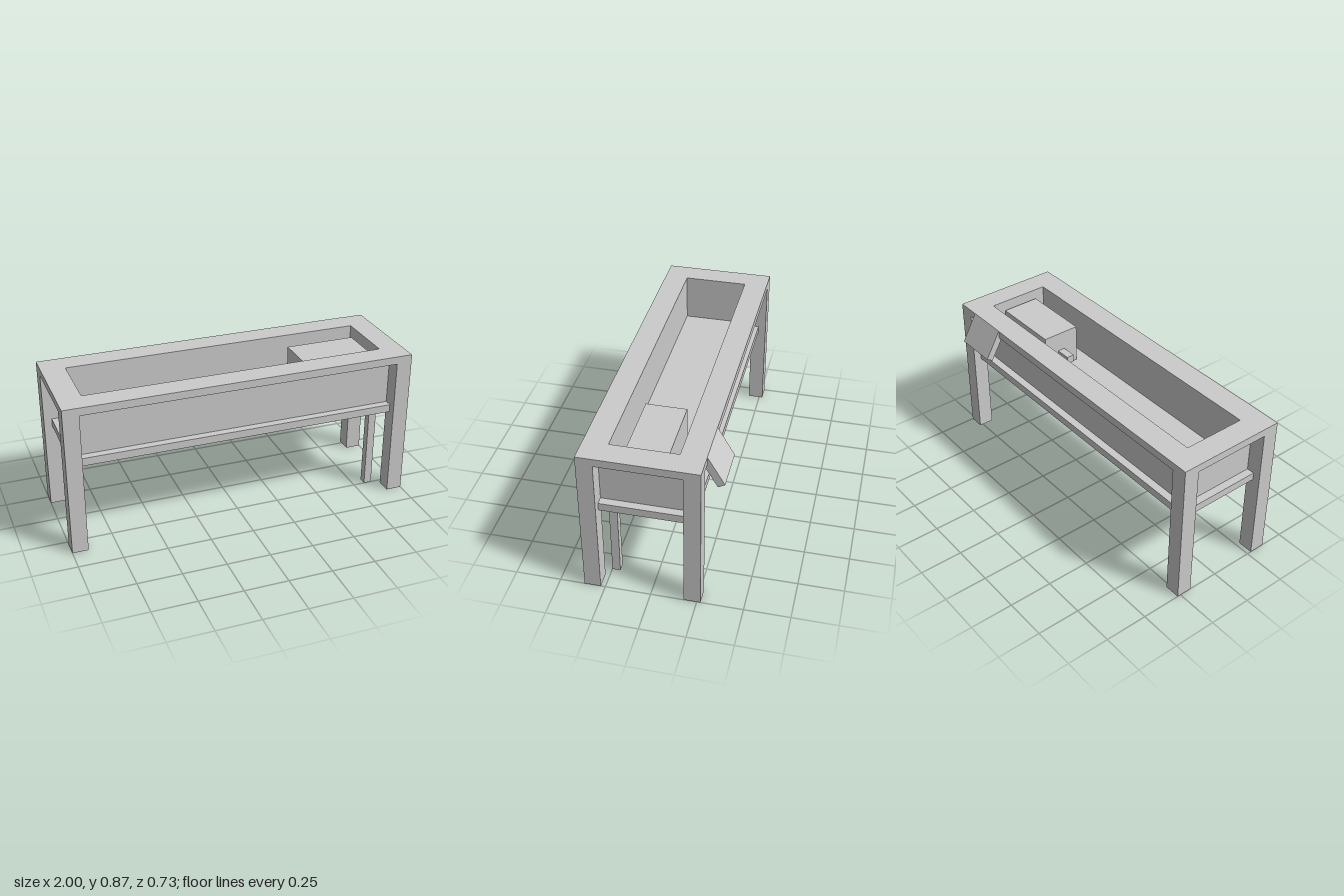
import * as THREE from 'three';

const CZ = 0.0475; // middle of the trough in z

export function createModel() {
  const model = new THREE.Group();
  const material = new THREE.MeshStandardMaterial({ color: 0xcccccc, flatShading: true });

  const add = (name, geometry) => {
    const mesh = new THREE.Mesh(geometry, material);
    mesh.name = name;
    model.add(mesh);
    return mesh;
  };

  // Box given by its extents along each axis
  const block = (name, [x0, x1], [y0, y1], [z0, z1]) => {
    const mesh = add(name, new THREE.BoxGeometry(x1 - x0, y1 - y0, z1 - z0));
    mesh.position.set((x0 + x1) / 2, (y0 + y1) / 2, (z0 + z1) / 2);
    return mesh;
  };

  // Box centred on x, y and z, given by its centre and size
  const centred = (name, x, y, z, w, h, d) =>
    block(name, [x - w / 2, x + w / 2], [y - h / 2, y + h / 2], [z - d / 2, z + d / 2]);

  // Flat rectangular rim with an opening
  const rectangle = (path, x, z) => {
    path.moveTo(-x, -z).lineTo(x, -z).lineTo(x, z).lineTo(-x, z).closePath();
    return path;
  };
  const rimShape = rectangle(new THREE.Shape(), 1, 0.3175);
  rimShape.holes.push(rectangle(new THREE.Path(), 0.865, 0.1825));
  const rim = add('rim', new THREE.ExtrudeGeometry(rimShape, { depth: 0.045, bevelEnabled: false }));
  rim.rotation.x = -Math.PI / 2;
  rim.position.set(0, 0.82, CZ);

  // Legs, walls and lower rails, mirrored about the middle
  for (const s of [-1, 1]) {
    for (const t of [-1, 1]) centred('leg', s * 0.955, 0.41, CZ + t * 0.2725, 0.09, 0.82, 0.09);
    centred('longWall', 0, 0.6825, CZ + s * 0.205, 1.82, 0.275, 0.045);
    centred('endWall', s * 0.8875, 0.6825, CZ, 0.045, 0.275, 0.365);
    centred('longRail', 0, 0.5225, CZ + s * 0.25, 1.82, 0.045, 0.045);
    centred('endRail', s * 0.9325, 0.5225, CZ, 0.045, 0.045, 0.455);
  }

  // Trough floor and the drain beneath it
  centred('floor', 0, 0.5675, CZ, 1.82, 0.045, 0.455);
  centred('drain', -0.66, 0.501, 0.0425, 0.135, 0.088, 0.135);

  // Valve housing inside the trough, with its outlet
  block('valveHousing', [0.43, 0.84], [0.59, 0.82], [-0.07, 0.155]);
  block('outletPipe', [0.34, 0.43], [0.66, 0.705], [0.02, 0.065]);

  // Supply pipe from the ground up into the floor
  block('supplyPipe', [0.817, 0.862], [0, 0.5], [0.205, 0.25]);
  block('supplyCrossPipe', [0.817, 0.862], [0.457, 0.5], [0.023, 0.205]);
  block('supplyRiser', [0.817, 0.862], [0.5, 0.56], [0.023, 0.068]);

  // Tilted plate hanging from the back edge
  const plate = add('backPlate', new THREE.BoxGeometry(0.25, 0.184, 0.042));
  plate.position.set(0.735, 0.776, -0.2975);
  plate.rotation.x = Math.PI / 6;

  return model;
}
